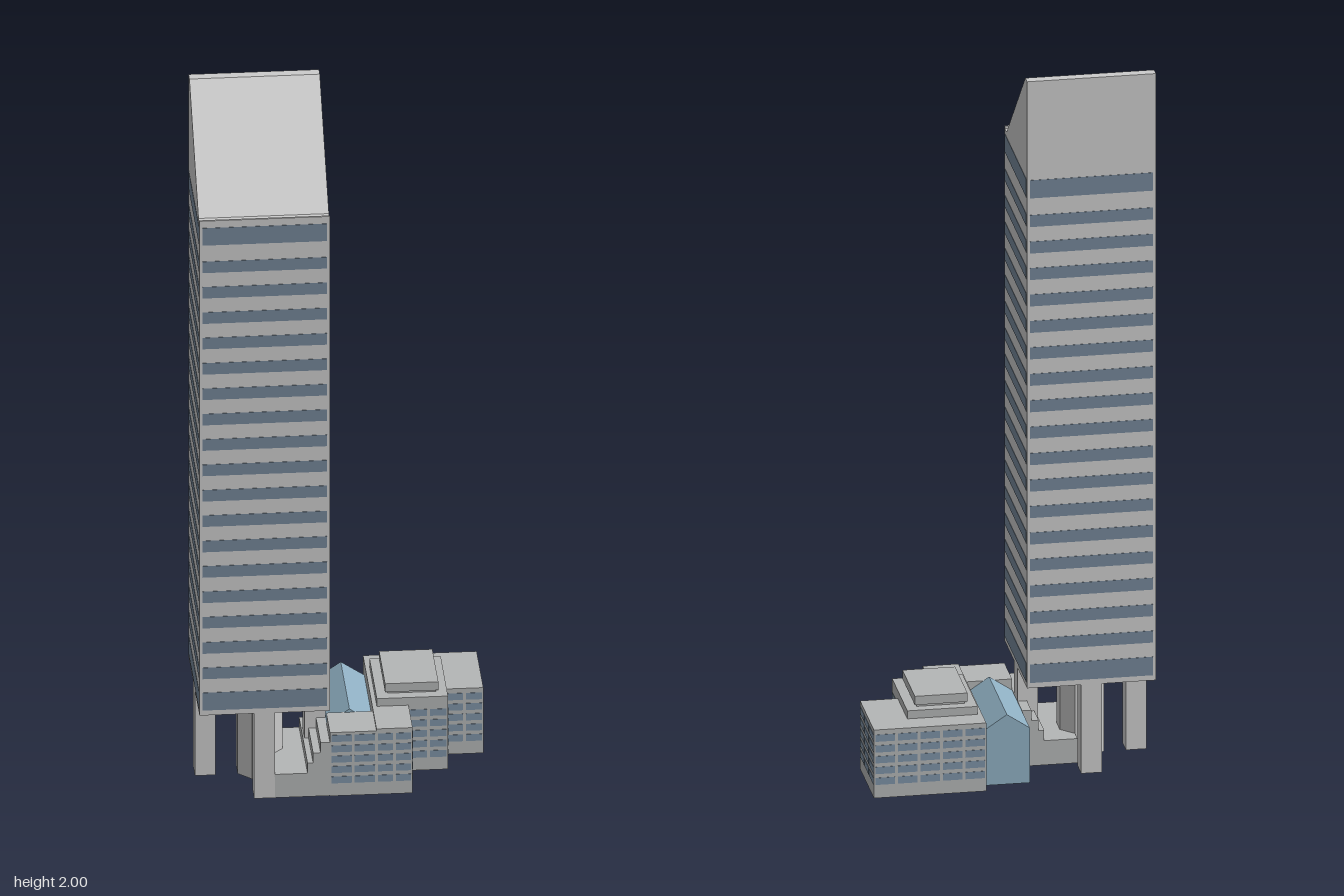
import * as THREE from 'three';

const mat = (color, side = THREE.FrontSide) => new THREE.MeshStandardMaterial({ color, side, flatShading: true });

export function createModel() {
  const model = new THREE.Group();
  const wall = mat(0xcccccc);
  const stone = mat(0xb4b6b6, THREE.DoubleSide);
  const band = mat(0x748698);
  const pane = mat(0x7d92a6);
  const glass = mat(0x8fafc2, THREE.DoubleSide);

  const add = (name, geometry, material, parent = model) => {
    const mesh = new THREE.Mesh(geometry, material);
    mesh.name = name;
    parent.add(mesh);
    return mesh;
  };

  // box given by its limits; openBottom drops the underside
  const box = (name, [x0, x1], [y0, y1], [z0, z1], material, parent, openBottom) => {
    const g = new THREE.BoxGeometry(x1 - x0, y1 - y0, z1 - z0);
    if (openBottom) {
      const index = Array.from(g.index.array);
      index.splice(18, 6);
      g.setIndex(index);
      g.clearGroups();
    }
    g.translate((x0 + x1) / 2, (y0 + y1) / 2, (z0 + z1) / 2);
    return add(name, g, material, parent);
  };

  // extrude a (z, y) profile along x
  const extrudeX = (name, points, x0, x1, material) => {
    const shape = new THREE.Shape(points.map(([z, y]) => new THREE.Vector2(-z, y)));
    const g = new THREE.ExtrudeGeometry(shape, { depth: x1 - x0, bevelEnabled: false });
    g.rotateY(Math.PI / 2);
    g.translate(x0, 0, 0);
    return add(name, g, material);
  };

  // tower shaft with its slanted crown and front parapet
  const T = { x0: -0.39, x1: -0.04, z0: -0.138, z1: 0.214 };
  extrudeX('towerShaft', [
    [T.z1, 0.255], [T.z1, 1.737], [T.z1 - 0.006, 1.737], [T.z1 - 0.006, 1.73],
    [0.183, 1.73], [-0.11, 2], [T.z0, 2], [T.z0, 0.255],
  ], T.x0, T.x1, wall);

  // window bands: two crossed boxes per storey leave the corners solid
  const bands = new THREE.Group();
  bands.name = 'towerWindowBands';
  model.add(bands);
  const storeys = [[0.27, 0.323], [1.664, 1.716]];
  for (let i = 0; i < 17; i++) {
    const y = 0.381 + i * 0.0761;
    storeys.push([y - 0.017, y + 0.017]);
  }
  const inset = 0.008, out = 0.001;
  for (const y of storeys) {
    box('bandFrontBack', [T.x0 + inset, T.x1 - inset], y, [T.z0 - out, T.z1 + out], band, bands);
    box('bandSides', [T.x0 - out, T.x1 + out], y, [T.z0 + inset, T.z1 - inset], band, bands);
  }

  // columns at the middle of each side, octagonal core in the centre
  const cx = (T.x0 + T.x1) / 2, cz = (T.z0 + T.z1) / 2, w = 0.056;
  const columns = [
    [T.x0 + w / 2, cz], [T.x1 - w / 2, cz], [cx, T.z0 + w / 2], [cx, T.z1 - w / 2],
  ];
  for (const [x, z] of columns) {
    box('column', [x - w / 2, x + w / 2], [0, 0.256], [z - w / 2, z + w / 2], wall);
  }
  const core = new THREE.CylinderGeometry(0.065, 0.065, 0.256, 8);
  core.rotateY(Math.PI / 8);
  core.translate(cx, 0.128, cz);
  add('core', core, wall);

  // stepped terrace climbing to the low buildings
  const steps = [[-0.19, -0.1, 0.07], [-0.1, -0.085, 0.1], [-0.085, -0.065, 0.13], [-0.065, -0.04, 0.16]];
  for (const [x0, x1, h] of steps) box('terraceStep', [x0, x1], [0, h], [-0.06, 0.214], stone, model, true);

  // low buildings
  box('frontWing', [-0.04, 0.182], [0, 0.19], [0.098, 0.216], stone, model, true);
  box('backWing', [0.085, 0.39], [0, 0.196], [-0.22, -0.004], stone, model, true);
  box('middleWing', [0.085, 0.288], [0, 0.196], [-0.15, 0.083], stone, model, true);
  box('linkBlock', [0.085, 0.182], [0, 0.196], [0.07, 0.216], stone, model, true);
  box('middleRoof', [0.097, 0.288], [0.19, 0.219], [-0.155, 0.083], stone);
  box('roofNeck', [0.128, 0.258], [0.215, 0.228], [-0.127, 0.053], stone);
  box('roofCap', [0.121, 0.264], [0.226, 0.251], [-0.134, 0.06], stone);

  // glazed atrium with a pitched roof
  const gable = new THREE.Shape([[-0.04, 0], [0.085, 0], [0.085, 0.158], [0.022, 0.2], [-0.04, 0.158]]
    .map(([x, y]) => new THREE.Vector2(x, y)));
  const atrium = new THREE.ExtrudeGeometry(gable, { depth: 0.28, bevelEnabled: false });
  atrium.translate(0, 0, -0.18);
  add('atrium', atrium, glass);

  // grids of panes: face plane, span along the wall, number of columns
  const panes = new THREE.Group();
  panes.name = 'lowWindows';
  model.add(panes);
  const grid = (axis, plane, a, b, cols) => {
    const pitch = (b - a) / cols;
    for (let c = 0; c < cols; c++) {
      const span = [a + c * pitch + 0.004, a + (c + 1) * pitch - 0.004];
      const thin = [plane - 0.001, plane + 0.001];
      for (let r = 0; r < 5; r++) {
        const y = [0.038 + r * 0.031, 0.058 + r * 0.031];
        if (axis === 'z') box('pane', span, y, thin, pane, panes);
        else box('pane', thin, y, span, pane, panes);
      }
    }
  };
  grid('z', 0.216, -0.04, 0.085, 2);
  grid('z', 0.216, 0.085, 0.182, 2);
  grid('x', 0.182, 0.083, 0.216, 2);
  grid('z', 0.083, 0.182, 0.288, 2);
  grid('x', 0.288, -0.004, 0.083, 1);
  grid('z', -0.004, 0.288, 0.39, 2);
  grid('x', 0.39, -0.22, -0.004, 3);
  grid('z', -0.22, 0.085, 0.39, 5);

  return model;
}
